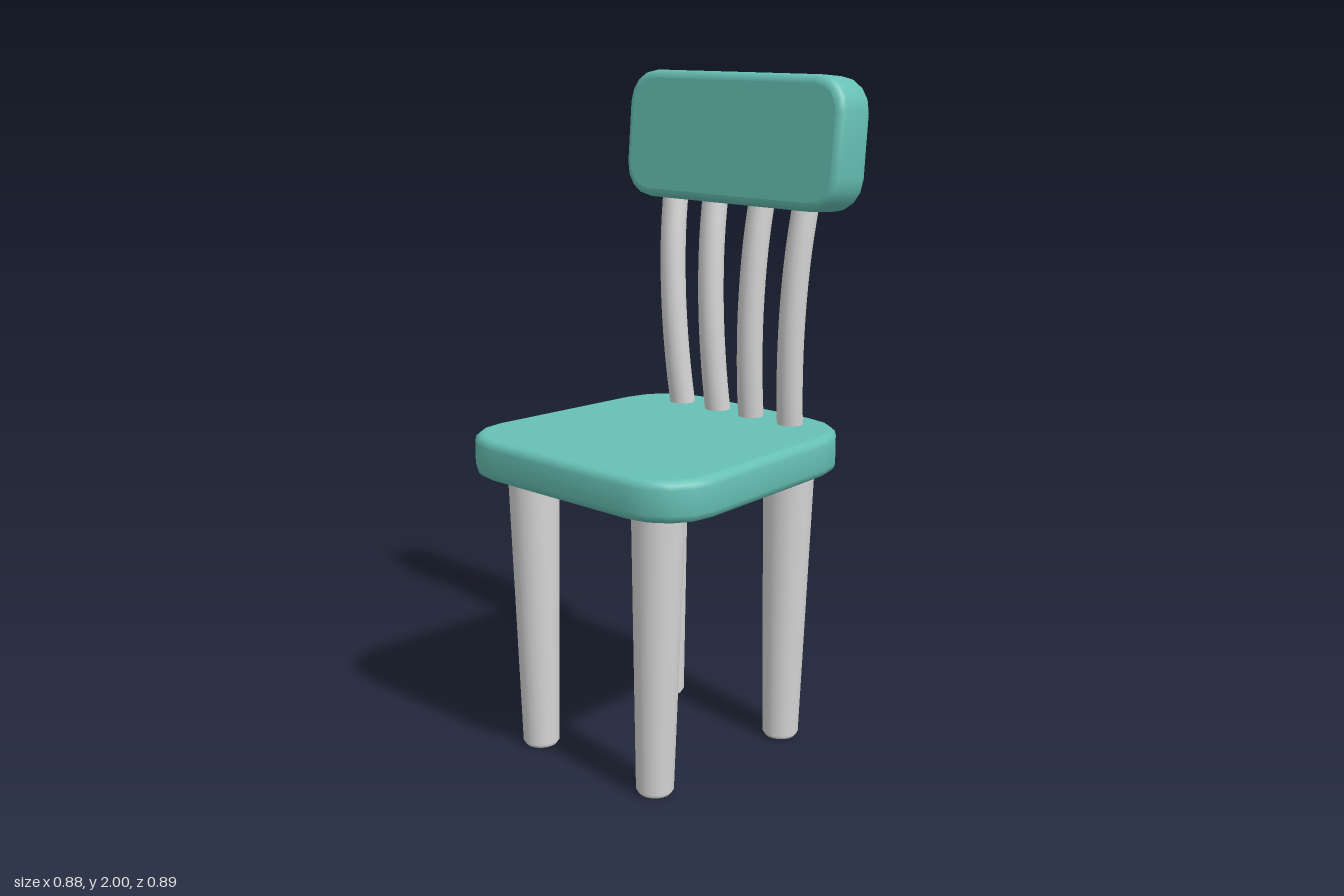
import * as THREE from 'three';
import { toCreasedNormals } from 'three/addons/utils/BufferGeometryUtils.js';

const YAW = 0.02; // the whole chair is hand-made and slightly skewed

// Rounded, bevelled slab from a four-corner outline in XY, centred in z
function slabGeometry(corners, radius, thickness, bevel) {
  const pts = corners.map(([x, y]) => new THREE.Vector2(x, y));
  const shape = new THREE.Shape();
  pts.forEach((p, i) => {
    const toward = (q, d) => p.clone().add(q.clone().sub(p).setLength(d));
    const prev = pts[(i + 3) % 4], next = pts[(i + 1) % 4];
    const a = toward(prev, radius), b = toward(next, radius);
    const ca = toward(prev, radius * 0.45), cb = toward(next, radius * 0.45);
    if (i === 0) shape.moveTo(a.x, a.y);
    else shape.lineTo(a.x, a.y);
    shape.bezierCurveTo(ca.x, ca.y, cb.x, cb.y, b.x, b.y);
  });
  shape.closePath();
  const raw = new THREE.ExtrudeGeometry(shape, {
    depth: thickness - 2 * bevel, curveSegments: 4,
    bevelThickness: bevel, bevelSize: bevel, bevelOffset: -bevel, bevelSegments: 3,
  });
  raw.translate(0, 0, bevel - thickness / 2);
  const geo = toCreasedNormals(raw, 1.2);
  // Keep the two large faces flat
  const { position, normal } = geo.attributes;
  const caps = raw.groups[0];
  for (let i = caps.start; i < caps.start + caps.count; i++) {
    normal.setXYZ(i, 0, 0, Math.sign(position.getZ(i)));
  }
  geo.clearGroups();
  return geo;
}

export function createModel() {
  const group = new THREE.Group();
  group.name = 'chair';
  const teal = new THREE.MeshStandardMaterial({ color: 0x66c0b5 });
  teal.name = 'teal paint';
  const grey = new THREE.MeshStandardMaterial({ color: 0xd6d6d6 });
  grey.name = 'light grey';

  const add = (name, geo, mat) => {
    const mesh = new THREE.Mesh(geo, mat);
    mesh.name = name;
    group.add(mesh);
    return mesh;
  };

  // Seat: wider at the front, outline given as x, z
  const seatGeo = slabGeometry(
    [[-0.446, 0.447], [0.453, 0.428], [0.375, -0.45], [-0.414, -0.43]], 0.18, 0.12, 0.025);
  seatGeo.rotateX(Math.PI / 2);
  add('seat', seatGeo, teal).position.y = 0.915;

  // Backrest, leaning back
  const w = 0.415, h = 0.192;
  const rest = add('backrest',
    slabGeometry([[-w, -h], [w, -h], [w, h], [-w, h]], 0.1, 0.14, 0.025), teal);
  rest.position.set(-0.015, 1.805, -0.347);
  rest.rotation.set(-0.08, YAW, 0);

  // Spindles: bowed forward and fanning out, [bottom x, top x]
  [[-0.233, -0.27], [-0.085, -0.107], [0.05, 0.075], [0.203, 0.24]].forEach(([x0, x1], i) => {
    const path = new THREE.CatmullRomCurve3(
      [[0.9, -0.335], [1.1, -0.313], [1.3, -0.305], [1.5, -0.315], [1.7, -0.345]].map(([y, z]) => {
        const x = THREE.MathUtils.lerp(x0, x1, (y - 0.97) / 0.64);
        return new THREE.Vector3(x, y, z - YAW * x);
      }));
    add(`spindle${i + 1}`, new THREE.TubeGeometry(path, 16, 0.039, 16), grey);
  });

  // Legs: tapered, with a small chamfer at the foot, slightly splayed sideways
  const side = new THREE.LatheGeometry(
    [[0.047, 0], [0.055, 0.012], [0.077, 0.88]].map(([r, y]) => new THREE.Vector2(r, y)), 20);
  const foot = new THREE.CircleGeometry(0.047, 20).rotateX(Math.PI / 2);
  for (const [end, z] of [['front', 0.277], ['back', -0.273]]) {
    for (const [name, x, splay] of [['Left', 0.231, -0.018], ['Right', -0.248, 0.014]]) {
      const leg = new THREE.Group();
      leg.name = `${end}Leg${name}`;
      const shaft = new THREE.Mesh(side, grey);
      shaft.name = 'shaft';
      const sole = new THREE.Mesh(foot, grey);
      sole.name = 'sole';
      leg.add(shaft, sole);
      leg.position.set(x, 0.001, z - YAW * x);
      leg.rotation.z = splay;
      group.add(leg);
    }
  }
  return group;
}
